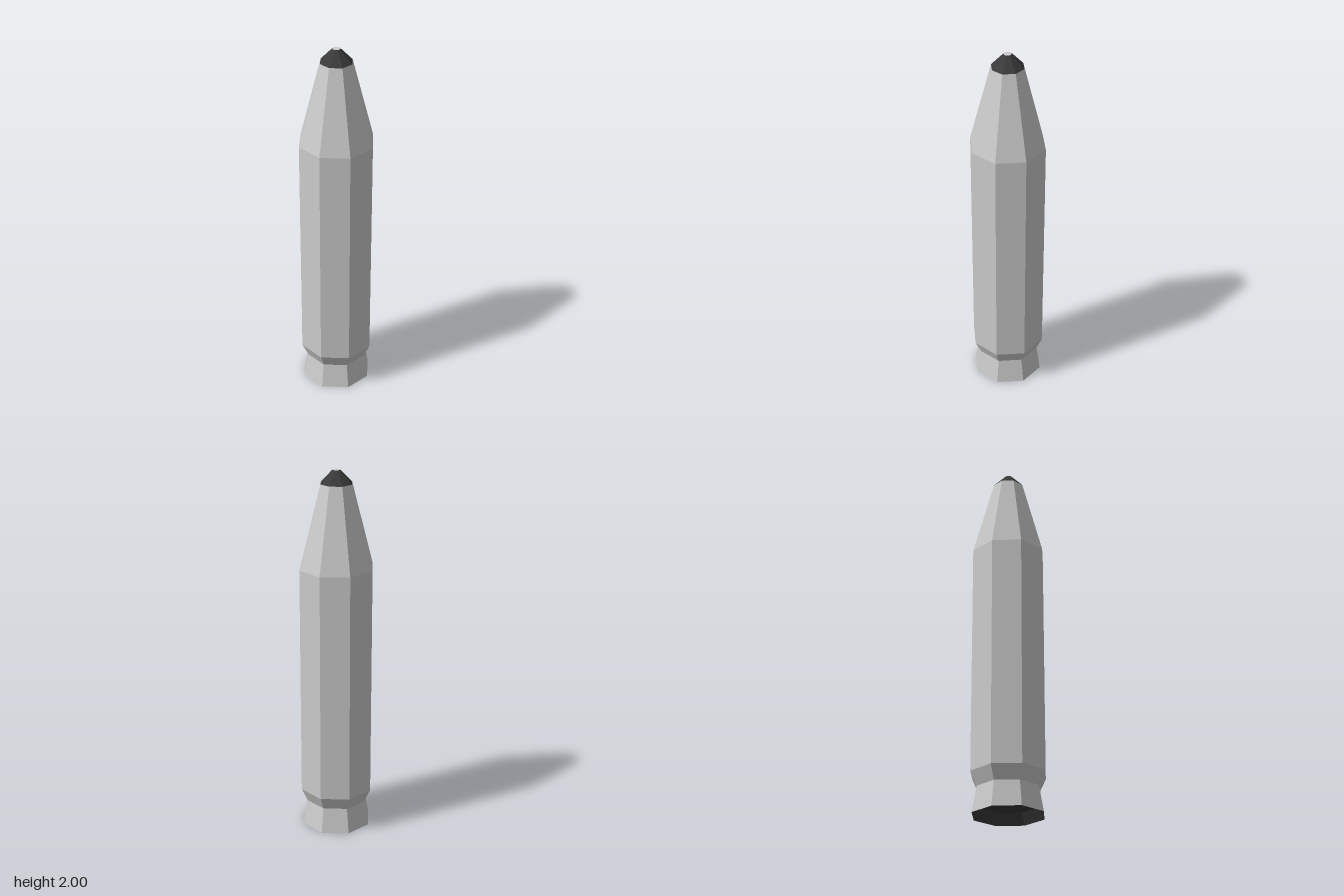
import * as THREE from 'three';

const SIDES = 8;
const grey = new THREE.MeshStandardMaterial({ color: 0xcccccc, flatShading: true });
const dark = new THREE.MeshStandardMaterial({ color: 0x3a3a3a, flatShading: true });

// Faceted ring of surfaces from [radius, height] pairs
function turned(name, profile, material) {
  const points = profile.map(([r, y]) => new THREE.Vector2(r, y));
  const geometry = new THREE.LatheGeometry(points, SIDES).toNonIndexed();
  geometry.computeVertexNormals();
  const mesh = new THREE.Mesh(geometry, material);
  mesh.name = name;
  return mesh;
}

// Flat octagonal disc facing up or down
function disc(name, radius, y, up, material) {
  const geometry = new THREE.CircleGeometry(radius, SIDES);
  geometry.rotateX(up ? -Math.PI / 2 : Math.PI / 2);
  const mesh = new THREE.Mesh(geometry, material);
  mesh.position.y = y;
  mesh.name = name;
  return mesh;
}

export function createModel() {
  const group = new THREE.Group();
  group.name = 'rocket';
  group.add(
    // Flared tail and its dark hollow
    turned('nozzle', [[0.195, 0], [0.17, 0.14], [0.205, 0.215]], grey),
    turned('nozzleInside', [[0.16, 0.06], [0.195, 0]], dark),
    disc('nozzleFloor', 0.16, 0.06, false, dark),
    // Straight body and tapering nose
    turned('body', [[0.205, 0.215], [0.205, 1.485]], grey),
    turned('nose', [[0.205, 1.485], [0.087, 1.93]], grey),
    // Dark tip with a small flat end
    turned('tip', [[0.087, 1.93], [0.021, 2]], dark),
    disc('tipEnd', 0.021, 2, true, grey),
  );
  return group;
}
